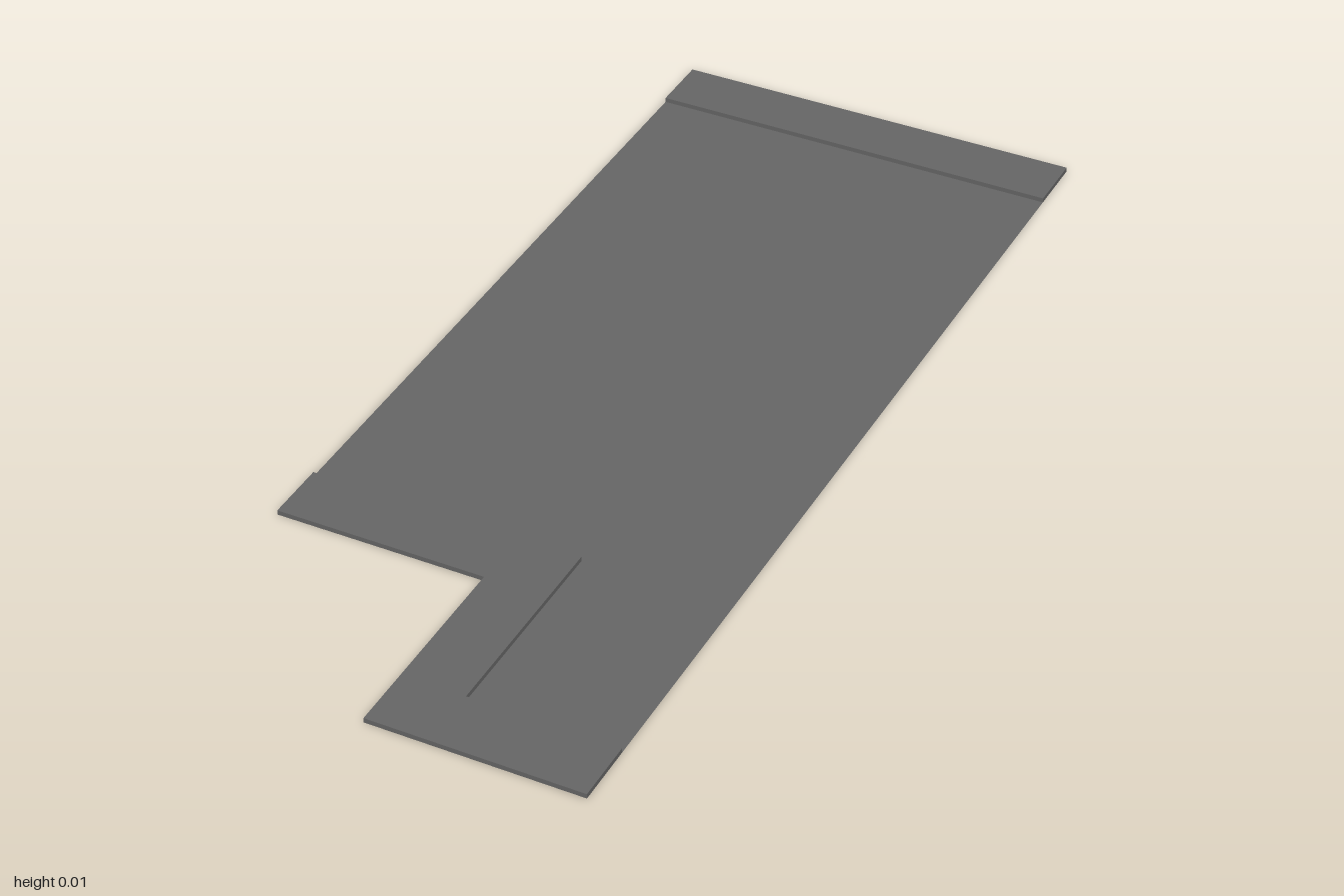
import * as THREE from 'three';

const KERB_HEIGHT = 0.009;

// Plan outline given as [x, z] pairs; z is flipped so it lies flat after rotation
const plan = (points) => new THREE.Shape(points.map(([x, z]) => new THREE.Vector2(x, -z)));

export function createModel() {
  const group = new THREE.Group();
  const grey = new THREE.MeshStandardMaterial({ color: 0x666666, side: THREE.DoubleSide });
  grey.name = 'dark grey';

  const add = (name, geometry) => {
    geometry.rotateX(-Math.PI / 2);
    const mesh = new THREE.Mesh(geometry, grey);
    mesh.name = name;
    group.add(mesh);
  };
  const kerb = (points) =>
    new THREE.ExtrudeGeometry(plan(points), { depth: KERB_HEIGHT, bevelEnabled: false });

  // Inner edge shared by the floor and the stepped kerb
  const step = [[0.4, 0.88], [0.12, 0.88], [0.12, 0.48], [-0.4, 0.48]];

  // Flat sheet between the kerbs
  add('floor', new THREE.ShapeGeometry(plan([[-0.4, -0.88], [0.4, -0.88], ...step])));

  // Raised strip following the stepped front edge
  add('frontKerb', kerb([[-0.4, 0.6], [0, 0.6], [0, 1], [0.4, 1], ...step]));

  // Raised straight strip along the back edge
  add('backKerb', kerb([[-0.4, -1], [0.4, -1], [0.4, -0.88], [-0.4, -0.88]]));

  return group;
}
